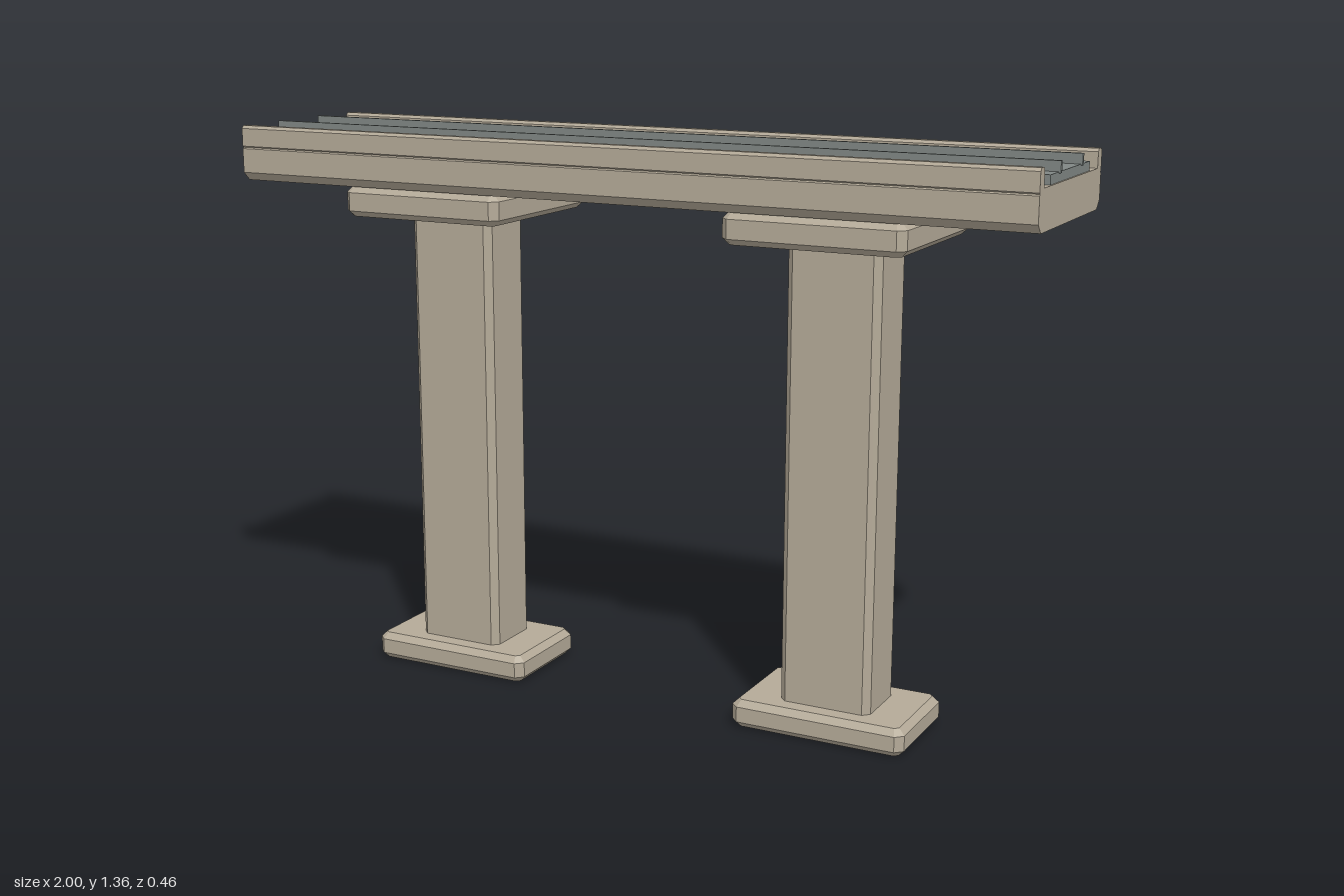
import * as THREE from 'three';

const concrete = new THREE.MeshStandardMaterial({ color: 0xb4aa98 });
concrete.name = 'concrete';
const steel = new THREE.MeshStandardMaterial({ color: 0x808784 });
steel.name = 'track grey';

function addMesh(parent, name, geometry, material, x = 0, y = 0, z = 0) {
  const mesh = new THREE.Mesh(geometry, material);
  mesh.name = name;
  mesh.position.set(x, y, z);
  parent.add(mesh);
  return mesh;
}

// Upright block with cut corners and optional chamfers on the top and bottom edges
function chamferedBlock(halfX, halfZ, height, corner, bevel) {
  const pts = [
    [halfX, -halfZ + corner], [halfX, halfZ - corner], [halfX - corner, halfZ], [-halfX + corner, halfZ],
    [-halfX, halfZ - corner], [-halfX, -halfZ + corner], [-halfX + corner, -halfZ], [halfX - corner, -halfZ],
  ].map(([x, z]) => new THREE.Vector2(x, z));
  const geometry = new THREE.ExtrudeGeometry(new THREE.Shape(pts), {
    depth: height - 2 * bevel, bevelEnabled: bevel > 0, bevelThickness: bevel,
    bevelSize: bevel, bevelOffset: -bevel, bevelSegments: 1,
  });
  geometry.translate(0, 0, bevel);
  geometry.rotateX(-Math.PI / 2);
  return geometry;
}

// Trough-shaped deck with a parapet and a fine side groove on each edge
function deckGeometry() {
  const half = [
    [0.208, 1.222], [0.228, 1.242], [0.228, 1.3], [0.225, 1.303], [0.228, 1.306],
    [0.228, 1.349], [0.222, 1.356], [0.205, 1.356], [0.199, 1.349], [0.199, 1.313],
  ];
  const outline = [...half, ...half.map(([z, y]) => [-z, y]).reverse()];
  const shape = new THREE.Shape(outline.map(([z, y]) => new THREE.Vector2(z, y)));
  const geometry = new THREE.ExtrudeGeometry(shape, { depth: 2, bevelEnabled: false });
  geometry.translate(0, 0, -1);
  geometry.rotateY(Math.PI / 2);
  return geometry;
}

export function createModel() {
  const model = new THREE.Group();
  model.name = 'railViaduct';

  // Two piers, each with a footing, column and cap
  const footing = chamferedBlock(0.214, 0.134, 0.067, 0.018, 0.015);
  const column = chamferedBlock(0.112, 0.081, 1.1, 0.016, 0);
  const cap = chamferedBlock(0.214, 0.214, 0.072, 0.018, 0.014);
  for (const side of [-1, 1]) {
    const pier = new THREE.Group();
    pier.name = side < 0 ? 'rightPier' : 'leftPier';
    pier.position.x = side * 0.5;
    addMesh(pier, 'footing', footing, concrete);
    addMesh(pier, 'column', column, concrete, 0, 0.06);
    addMesh(pier, 'cap', cap, concrete, 0, 1.15);
    model.add(pier);
  }

  addMesh(model, 'deck', deckGeometry(), concrete);

  // Track: evenly spaced sleepers and two rails
  const track = new THREE.Group();
  track.name = 'track';
  const sleeper = new THREE.BoxGeometry(0.043, 0.022, 0.292);
  for (let i = 0; i < 40; i++) {
    addMesh(track, 'sleeper', sleeper, steel, -0.975 + i * 0.05, 1.323);
  }
  const rail = new THREE.BoxGeometry(2, 0.026, 0.009);
  for (const z of [-0.081, 0.081]) addMesh(track, 'rail', rail, steel, 0, 1.344, z);
  model.add(track);

  return model;
}
